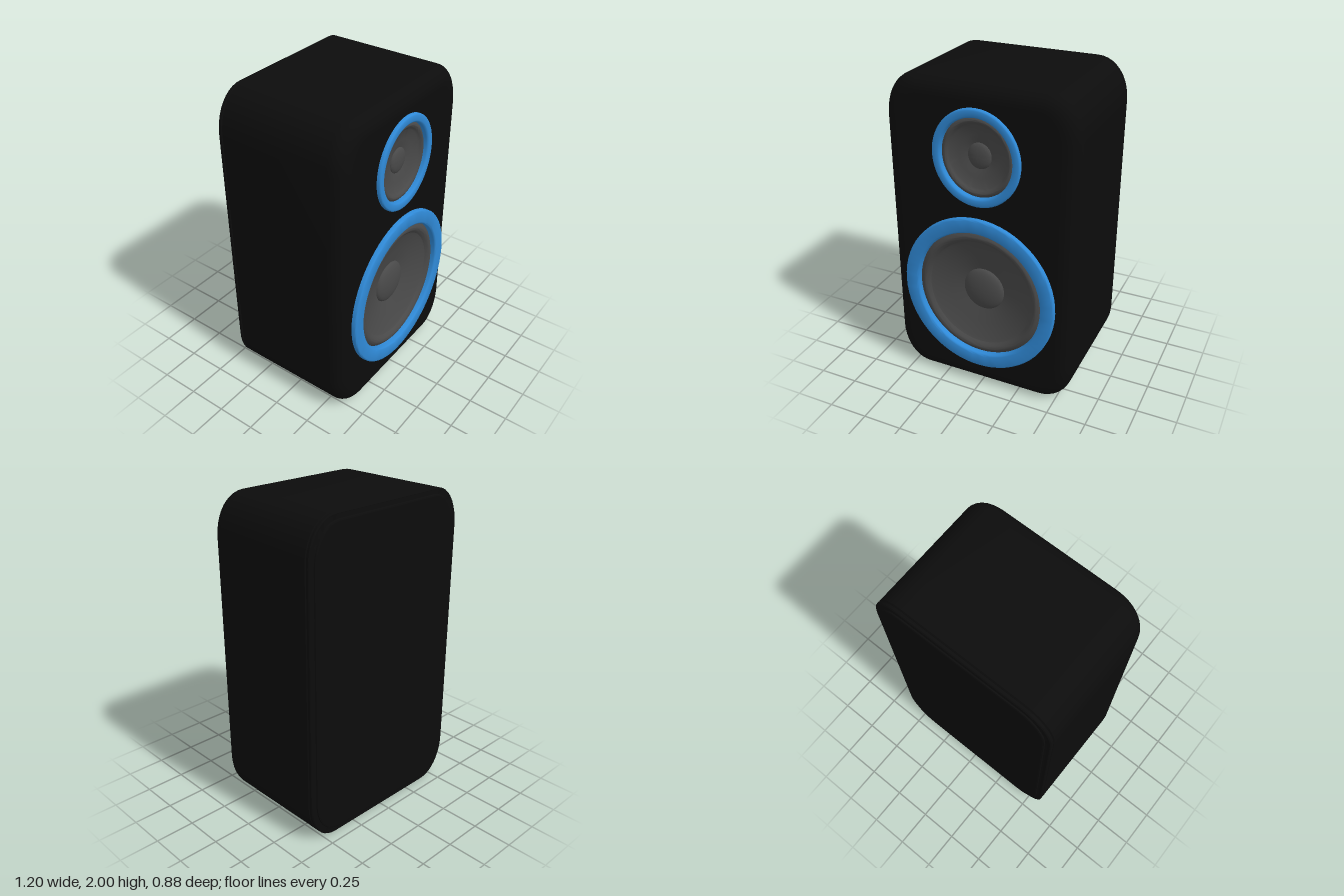
import * as THREE from 'three';
import { toCreasedNormals } from 'three/addons/utils/BufferGeometryUtils.js';

const black = new THREE.MeshStandardMaterial({ name: 'cabinet black', color: 0x0c0c0c });
const blue = new THREE.MeshStandardMaterial({ name: 'trim blue', color: 0x2f89d6 });
const grey = new THREE.MeshStandardMaterial({ name: 'cone grey', color: 0x494949 });

// Rounded outline of the cabinet, counter-clockwise from the front
function outline(inset) {
  const pts = [], steps = 10, e = 0.95;
  const rx = 0.2 - inset * 0.6, ry = 0.26 - inset * 0.6;
  const hx = 0.6 - inset, hy = 1 - inset;
  [[1, 1], [-1, 1], [-1, -1], [1, -1]].forEach(([sx, sy], q) => {
    for (let i = 0; i <= steps; i++) {
      const a = (q + i / steps) * Math.PI / 2;
      const c = Math.abs(Math.cos(a)) ** e, s = Math.abs(Math.sin(a)) ** e;
      pts.push(new THREE.Vector2(sx * (hx - rx + rx * c), 1 + sy * (hy - ry + ry * s)));
    }
  });
  return pts;
}

// Skin over [z, inset] sections, ordered back to front
function loft(sections) {
  const pos = [], idx = [];
  const n = outline(0).length;
  sections.forEach(([z, inset]) => outline(inset).forEach(p => pos.push(p.x, p.y, z)));
  for (let r = 0; r < sections.length - 1; r++) {
    for (let i = 0; i < n; i++) {
      const a = r * n + i, b = r * n + (i + 1) % n;
      idx.push(a, b, b + n, a, b + n, a + n);
    }
  }
  const g = new THREE.BufferGeometry();
  g.setAttribute('position', new THREE.Float32BufferAttribute(pos, 3));
  g.setIndex(idx);
  return toCreasedNormals(g, 0.6);
}

function add(parent, name, geometry, material) {
  const mesh = new THREE.Mesh(geometry, material);
  mesh.name = name;
  parent.add(mesh);
  return mesh;
}

// Round part facing +z; profile of [radius, z] runs from the outside to the centre
function disc(profile) {
  const g = new THREE.LatheGeometry(profile.map(([r, z]) => new THREE.Vector2(r, z)), 64);
  return toCreasedNormals(g.rotateX(Math.PI / 2), 0.7);
}

// Driver: raised trim ring, rolled surround, recessed cone and dust cap
function driver(name, d) {
  const g = new THREE.Group();
  g.name = name;
  const { rx: R, inner: r, height: h } = d;
  add(g, 'trimRing', disc([
    [R, -0.01], [R, h - 0.008], [R - 0.003, h - 0.003], [R - 0.01, h],
    [r + 0.012, h], [r + 0.004, h - 0.004], [r, h - 0.012], [r, -0.03],
  ]), blue);

  const roll = [];
  const w = r * 0.17;
  for (let i = 0; i <= 10; i++) {
    const t = i / 10;
    roll.push([r - w * t, -0.012 + Math.sin(t * Math.PI) * w * 0.3]);
  }
  add(g, 'surround', disc(roll), grey);

  const depth = -0.012 - r * 0.15, cap = r * 0.33;
  add(g, 'cone', disc([
    [r - w, -0.012], [r * 0.79, -0.02], [r * 0.55, depth * 0.65], [cap * 0.95, depth],
  ]), grey);

  const dome = [];
  for (let i = 0; i <= 10; i++) {
    const a = i / 10 * Math.PI / 2;
    dome.push([i === 10 ? 0 : cap * Math.cos(a), depth + cap * 0.3 * Math.sin(a)]);
  }
  add(g, 'dustCap', disc(dome), grey);

  g.position.set(0, d.y, 0.41);
  g.scale.y = d.ry / d.rx;
  return g;
}

export function createModel() {
  const model = new THREE.Group();
  model.name = 'bookshelfSpeaker';

  const drivers = {
    tweeter: { y: 1.575, rx: 0.275, ry: 0.295, inner: 0.225, height: 0.022 },
    woofer: { y: 0.677, rx: 0.5, ry: 0.522, inner: 0.41, height: 0.03 },
  };

  // Cabinet shell with a rounded front edge
  const front = 0.41, fillet = 0.095;
  const sections = [[-0.405, 0.008], [-0.4, 0]];
  for (let i = 0; i <= 8; i++) {
    const a = i / 8 * Math.PI / 2;
    sections.push([front - fillet + fillet * Math.sin(a), fillet * (1 - Math.cos(a))]);
  }
  add(model, 'cabinetShell', loft(sections), black);

  // Front baffle with openings for the drivers
  const baffle = new THREE.Shape(outline(fillet));
  for (const d of Object.values(drivers)) {
    const hole = new THREE.Path();
    hole.absellipse(0, d.y, d.rx - 0.02, d.ry - 0.02, 0, Math.PI * 2, true);
    baffle.holes.push(hole);
  }
  add(model, 'baffle', new THREE.ShapeGeometry(baffle, 48), black).position.z = front;

  // Rear panel, set off by a fine groove and stepped in at the back
  add(model, 'rearPanelEdge', loft([
    [-0.44, 0.045], [-0.437, 0.038], [-0.43, 0.036], [-0.43, 0.006],
    [-0.425, 0], [-0.41, 0], [-0.405, 0.008],
  ]), black);
  const back = new THREE.ShapeGeometry(new THREE.Shape(outline(0.045)));
  add(model, 'rearPanel', back.rotateY(Math.PI), black).position.z = -0.44;

  for (const [name, d] of Object.entries(drivers)) model.add(driver(name, d));
  return model;
}
